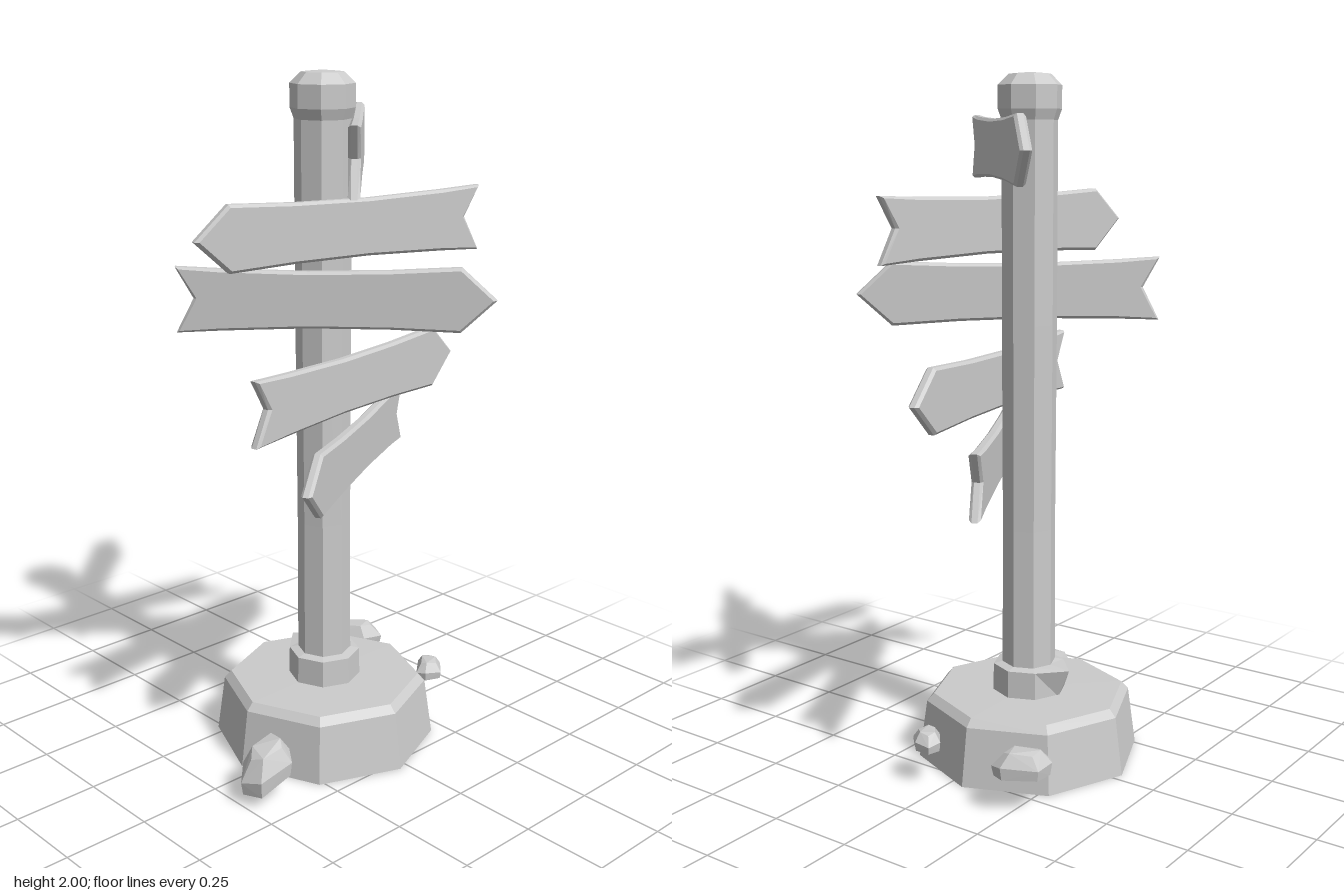
import * as THREE from 'three';
import { ConvexGeometry } from 'three/addons/geometries/ConvexGeometry.js';

const material = new THREE.MeshStandardMaterial({ color: 0xcccccc, flatShading: true, side: THREE.DoubleSide });
const CX = -0.03, CZ = -0.045; // post axis

// Eight-sided turned part from [radius, height] pairs
function turned(name, profile) {
  const geometry = new THREE.LatheGeometry(profile.map(([r, y]) => new THREE.Vector2(r, y)), 8);
  const mesh = new THREE.Mesh(geometry, material);
  mesh.name = name;
  mesh.position.set(CX, 0, CZ);
  return mesh;
}

// Arrow board with notched tail, waisted edges and bevelled rim; dir +1 points to +x
function board(name, [x0, z0], [x1, z1], y, dir) {
  const h = Math.hypot(x1 - x0, z1 - z0) / 2 - 0.008;
  const upper = [[-h, 0.093], [-0.32, 0.087], [-0.08, 0.08], [0.15, 0.083], [h - 0.1, 0.092]];
  const lower = upper.map(([x, v]) => [x, -v]).reverse();
  const outline = [...upper, [h, 0], ...lower, [-h + 0.05, 0.005]];
  const shape = new THREE.Shape(outline.map(([x, v]) => new THREE.Vector2(x * dir, v)));
  const geometry = new THREE.ExtrudeGeometry(shape, {
    depth: 0.016, bevelThickness: 0.008, bevelSize: 0.008, bevelOffset: -0.008, bevelSegments: 1,
  });
  geometry.translate(0, 0, -0.008);
  const mesh = new THREE.Mesh(geometry, material);
  mesh.name = name;
  mesh.position.set((x0 + x1) / 2, y, (z0 + z1) / 2);
  mesh.rotation.y = Math.atan2(z0 - z1, x1 - x0);
  return mesh;
}

// Faceted stone: plan outline at the foot, shrinking rings above, optional slope along x
function stone(name, outline, y0, y1, slope = 0) {
  const n = outline.length;
  const cx = outline.reduce((s, p) => s + p[0], 0) / n;
  const cz = outline.reduce((s, p) => s + p[1], 0) / n;
  const points = [];
  for (const [scale, t] of [[0.93, 0], [1, 0.4], [0.6, 0.9]]) {
    outline.forEach(([x, z], i) => {
      const dx = (x - cx) * scale;
      const bump = t > 0 ? (i % 2) * 0.1 : 0;
      points.push(new THREE.Vector3(cx + dx, y0 + (y1 - y0) * (t + bump) + slope * dx, cz + (z - cz) * scale));
    });
  }
  const mesh = new THREE.Mesh(new ConvexGeometry(points), material);
  mesh.name = name;
  return mesh;
}

export function createModel() {
  const model = new THREE.Group();
  model.name = 'signpost';

  // Hollow plinth, open underneath
  model.add(turned('base', [[0.332, 0], [0.308, 0.172], [0.287, 0.195], [0, 0.198]]));

  // Collar with its rear top corner pulled outwards
  const collar = turned('collar', [[0.108, 0.19], [0.106, 0.278], [0.075, 0.285]]);
  const p = collar.geometry.attributes.position;
  for (let i = 0; i < p.count; i++) {
    if (p.getY(i) > 0.27 && p.getY(i) < 0.28 && p.getZ(i) < -0.1) p.setZ(i, -0.145);
  }
  model.add(collar);

  // Post and its rounded cap
  model.add(turned('post', [[0, 0.17], [0.08, 0.17], [0.078, 0.7], [0.08, 1.3], [0.08, 1.9]]));
  model.add(turned('postCap', [[0.08, 1.87], [0.091, 1.9], [0.091, 1.965], [0.06, 1.995], [0, 2]]));

  // Boards from top to bottom, each given by its plan ends
  model.add(
    board('signTop', [-0.24, 0.3], [0.38, -0.325], 1.793, 1),
    board('signUpper', [-0.485, -0.06], [0.4, 0.155], 1.578, -1),
    board('signMiddle', [-0.395, -0.265], [0.26, 0.365], 1.383, 1),
    board('signLower', [-0.43, 0.11], [0.49, -0.03], 1.132, 1),
    board('signBottom', [-0.365, 0.245], [0.415, -0.18], 0.92, -1),
  );

  // Loose stones around the base
  model.add(
    stone('stoneRight', [[-0.5, 0.12], [-0.45, 0.07], [-0.33, 0.065], [-0.345, 0.15], [-0.37, 0.19], [-0.48, 0.185]], 0.06, 0.16, 0.33),
    stone('stoneBack', [[0.24, -0.31], [0.27, -0.335], [0.33, -0.33], [0.385, -0.24], [0.37, -0.2], [0.3, -0.21]], 0.105, 0.178),
    stone('stoneLeft', [[0.27, 0.06], [0.33, 0.01], [0.37, 0.02], [0.37, 0.07], [0.33, 0.11], [0.28, 0.09]], 0.105, 0.158),
  );
  return model;
}
